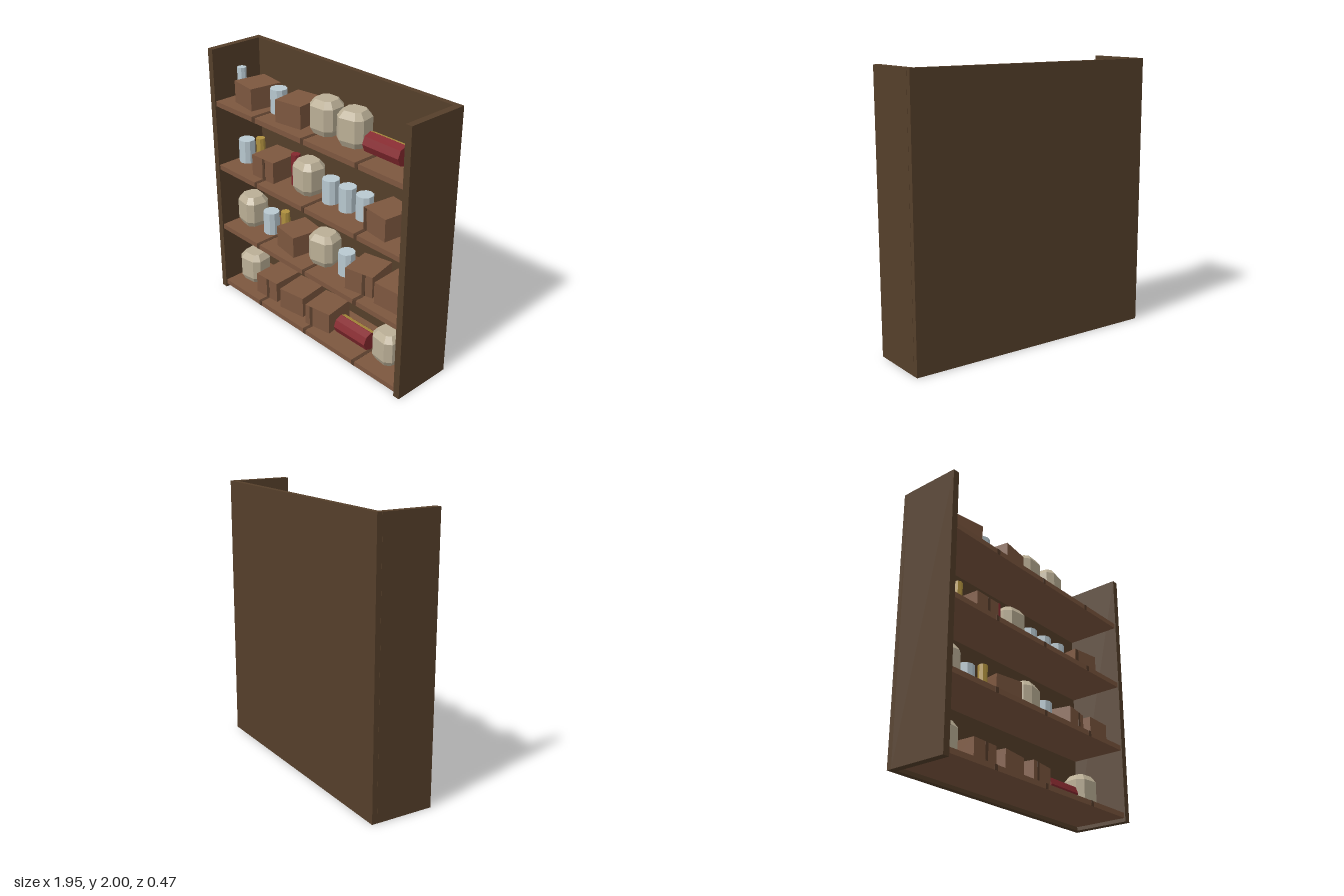
import * as THREE from 'three';
import { ConvexGeometry } from 'three/addons/geometries/ConvexGeometry.js';

const mat = (name, color) => {
  const m = new THREE.MeshStandardMaterial({ color, flatShading: true });
  m.name = name;
  return m;
};

export function createModel() {
  const frameWood = mat('dark wood', 0x553f2a);
  const shelfWood = mat('shelf wood', 0x7d573f);
  const seamWood = mat('seam brown', 0x573d2b);
  const tin = mat('pale blue tin', 0xb9c9d1);
  const cream = mat('cream', 0xbbaf96);
  const red = mat('deep red', 0x84282e);
  const gold = mat('gold', 0xb0913f);

  const root = new THREE.Group();
  root.name = 'stockedShelf';

  const add = (parent, name, geo, material, x, y, z) => {
    const m = new THREE.Mesh(geo, material);
    m.name = name;
    m.position.set(x, y, z);
    parent.add(m);
    return m;
  };
  const box = (w, h, d) => new THREE.BoxGeometry(w, h, d);
  const seams = [-0.5, 0.01, 0.525];

  // Carcass: back panel and two sides, open at the top
  add(root, 'backPanel', box(1.95, 2, 0.04), frameWood, 0, 1, -0.215);
  for (const s of [-1, 1])
    add(root, s < 0 ? 'rightSide' : 'leftSide', box(0.05, 2, 0.43), frameWood, s * 0.951, 1, 0.018);

  // Shelves with plank seams wrapped over the top and front edge
  const shelfTops = [0.065, 0.58, 1.095, 1.608];
  for (const y of shelfTops) {
    add(root, 'shelf', box(1.856, 0.038, 0.42), shelfWood, 0, y - 0.019, 0.014);
    for (const x of seams)
      add(root, 'shelfSeam', box(0.028, 0.039, 0.41), seamWood, x, y - 0.018, 0.021);
  }

  // Upright round containers
  const upright = (name, r, h, sides, material) => {
    const geo = new THREE.CylinderGeometry(r, r, h, sides).translate(0, h / 2, 0);
    return (y, x, z = 0.02) => add(root, name, geo, material, x, y, z);
  };
  const can = upright('can', 0.062, 0.18, 10, tin);
  const tallTin = upright('tallTin', 0.034, 0.242, 8, tin);
  const redTube = upright('redTube', 0.034, 0.242, 8, red);
  const goldTube = upright('goldTube', 0.034, 0.242, 8, gold);

  // Wooden box, turned by angle; a seam shows on the front where it crosses a plank joint
  const crate = (y, x, angle) => {
    const g = new THREE.Group();
    g.name = 'crate';
    g.position.set(x, y, 0.02);
    g.rotation.y = angle;
    add(g, 'crateBody', box(0.225, 0.165, 0.25), shelfWood, 0, 0.0825, 0);
    for (const s of seams) {
      const lx = (s - x - 0.125 * Math.sin(angle)) / Math.cos(angle);
      if (Math.abs(lx) < 0.098)
        add(g, 'crateSeam', box(0.026, 0.163, 0.004), seamWood, lx, 0.0825, 0.125);
    }
    root.add(g);
  };

  // Jar: chamfered rectangle loops, narrowed at the base and the top
  const jarPoints = [];
  for (const [y, k] of [[0, 0.78], [0.045, 1], [0.2, 1], [0.246, 0.68]])
    for (const sx of [-1, 1])
      for (const sz of [-1, 1])
        for (const [px, pz] of [[0.105, 0.055], [0.062, 0.097]])
          jarPoints.push(new THREE.Vector3(sx * px * k, y, sz * pz * k));
  const jarGeo = new ConvexGeometry(jarPoints);
  const jar = (y, x, angle) => {
    add(root, 'jar', jarGeo, cream, x, y, 0.02).rotation.y = angle;
  };

  // Eight-sided roll lying along x, with a gold strip on its upper rear face
  const rollGeo = new THREE.CylinderGeometry(0.072, 0.072, 0.31, 8).rotateZ(Math.PI / 2);
  const roll = (y, x) => {
    const g = new THREE.Group();
    g.name = 'redRoll';
    g.position.set(x, y + 0.072, 0.038);
    add(g, 'rollBody', rollGeo, red, 0, 0, 0);
    const a = Math.PI / 8, r = 0.0665;
    add(g, 'rollStrip', box(0.308, 0.004, 0.04), gold, 0, r * Math.cos(a), -r * Math.sin(a)).rotation.x = -a;
    root.add(g);
  };

  const [y1, y2, y3, y4] = shelfTops;

  // Bottom shelf
  jar(y1, -0.8, 0.12);
  crate(y1, -0.52, 0.05);
  crate(y1, -0.24, 0.14);
  crate(y1, 0.048, 0.15);
  roll(y1, 0.365);
  jar(y1, 0.675, -0.12);

  // Second shelf
  jar(y2, -0.8, -0.15);
  can(y2, -0.58);
  goldTube(y2, -0.413);
  crate(y2, -0.26, -0.16);
  jar(y2, 0.02, 0.2);
  can(y2, 0.245);
  crate(y2, 0.46, 0.2);
  crate(y2, 0.747, 0.05);

  // Third shelf
  can(y3, -0.845);
  goldTube(y3, -0.68);
  crate(y3, -0.517, 0.04);
  redTube(y3, -0.287);
  jar(y3, -0.147, -0.1);
  for (const x of [0.08, 0.245, 0.41]) can(y3, x);
  crate(y3, 0.632, -0.13);

  // Top shelf
  tallTin(y4, -0.843, 0.04);
  crate(y4, -0.69, -0.14);
  can(y4, -0.455);
  crate(y4, -0.24, 0.15);
  jar(y4, 0.038, 0.06);
  jar(y4, 0.303, 0.2);
  roll(y4, 0.614);

  return root;
}
